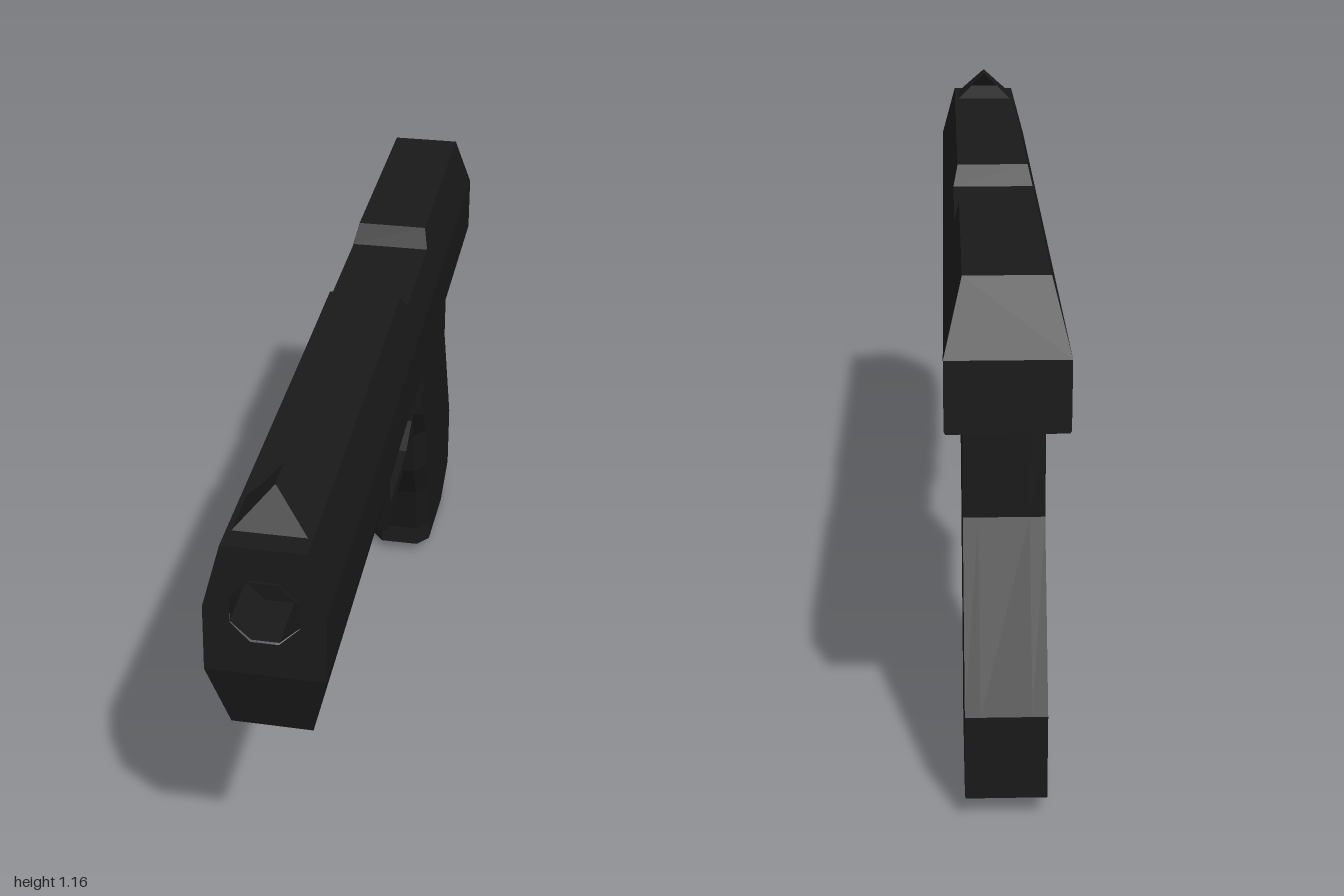
import * as THREE from 'three';

const material = new THREE.MeshStandardMaterial({ color: 0x191919, flatShading: true });
const doubleSided = material.clone();
doubleSided.side = THREE.DoubleSide;

// Extrude a side profile of [z, y] points across x; rule(v) may then move each vertex.
function sideProfile(points, halfWidth, rule, steps = 1) {
  const shape = new THREE.Shape(points.map(([z, y]) => new THREE.Vector2(z, y)));
  const geo = new THREE.ExtrudeGeometry(shape, { depth: halfWidth * 2, bevelEnabled: false, steps });
  geo.translate(0, 0, -halfWidth).rotateY(-Math.PI / 2);
  if (rule) {
    const pos = geo.attributes.position;
    const v = new THREE.Vector3();
    for (let i = 0; i < pos.count; i++) {
      rule(v.fromBufferAttribute(pos, i));
      pos.setXYZ(i, v.x, v.y, v.z);
    }
  }
  geo.computeVertexNormals();
  return geo;
}

// Skin mirrored rings that run from front to back, closing the rear end.
function loft(rings) {
  const out = [];
  const quad = (a, b, c, d) => out.push(...a, ...b, ...c, ...a, ...c, ...d);
  const n = rings[0].length;
  for (let r = 0; r < rings.length - 1; r++) {
    for (let i = 0; i < n; i++) {
      const j = (i + 1) % n;
      quad(rings[r][i], rings[r][j], rings[r + 1][j], rings[r + 1][i]);
    }
  }
  const end = rings[rings.length - 1];
  for (let i = 0; i < n / 2 - 1; i++) quad(end[i], end[i + 1], end[n - 2 - i], end[n - 1 - i]);
  const geo = new THREE.BufferGeometry();
  geo.setAttribute('position', new THREE.Float32BufferAttribute(out, 3));
  geo.computeVertexNormals();
  return geo;
}

// Eight-sided slide section; z holds the depth of its four levels, top to bottom.
function slideRing(z, topY, topHalf, bottomY, bottomHalf) {
  const zs = Array.isArray(z) ? z : [z, z, z, z];
  const right = [[topHalf, topY], [0.115, 0.96], [0.115, 0.825], [bottomHalf, bottomY]]
    .map(([x, y], i) => [x, y, zs[i]]);
  return [...right, ...right.map(([x, y, d]) => [-x, y, d]).reverse()];
}

// Slightly raked muzzle face, bent at y = 0.825
const faceZ = (y) => (y > 0.825 ? 1 - (y - 0.825) * 0.094 : 1 - (0.825 - y) * 0.258);

function facePanel(points, hole) {
  const shape = new THREE.Shape(points.map(([x, y]) => new THREE.Vector2(x, y)));
  if (hole) shape.holes.push(new THREE.Path(hole));
  const geo = new THREE.ShapeGeometry(shape);
  const pos = geo.attributes.position;
  for (let i = 0; i < pos.count; i++) pos.setZ(i, faceZ(pos.getY(i)));
  geo.computeVertexNormals();
  return geo;
}

export function createModel() {
  const group = new THREE.Group();
  const add = (name, geo, mat = material) => {
    const mesh = new THREE.Mesh(geo, mat);
    mesh.name = name;
    group.add(mesh);
    return mesh;
  };

  // Slide with the lowered window on top and the cut-away underside
  add('slide', loft([
    slideRing([1.09, 0.96, 0.825, 0.67].map(faceZ), 1.09, 0.08, 0.67, 0.08),
    slideRing(0.2, 1.09, 0.08, 0.67, 0.08),
    slideRing(0.199, 1.09, 0.08, 0.74, 0.096),
    slideRing(-0.02, 1.092, 0.08, 0.82, 0.112),
    slideRing(-0.06, 1.05, 0.09, 0.82, 0.112),
    slideRing(-0.36, 1.05, 0.09, 0.82, 0.112),
    slideRing(-0.385, 1.095, 0.08, 0.82, 0.112),
    slideRing([-0.935, -1, -1, -1], 1.097, 0.08, 0.82, 0.112),
  ]));

  // Muzzle face with an octagonal bore
  const boreRadius = 0.07, boreY = 0.96, boreDepth = 0.12;
  const octagon = Array.from({ length: 8 }, (_, i) => {
    const a = (i + 0.5) * Math.PI / 4;
    return new THREE.Vector2(Math.cos(a) * boreRadius, boreY + Math.sin(a) * boreRadius);
  });
  add('muzzleFace', facePanel(
    [[-0.115, 0.825], [0.115, 0.825], [0.115, 0.96], [0.08, 1.09], [-0.08, 1.09], [-0.115, 0.96]], octagon));
  add('muzzleLowerFace', facePanel([[-0.08, 0.67], [0.08, 0.67], [0.115, 0.825], [-0.115, 0.825]]));
  const bore = new THREE.CylinderGeometry(boreRadius, boreRadius, boreDepth, 8, 1, true);
  bore.rotateY(Math.PI / 8).rotateX(Math.PI / 2).translate(0, boreY, 0.987 - boreDepth / 2);
  add('bore', bore, doubleSided);
  add('boreEnd', new THREE.CircleGeometry(boreRadius, 8, Math.PI / 8).translate(0, boreY, 0.987 - boreDepth));

  // Front sight, narrowing to a ridge
  add('frontSight', sideProfile(
    [[0.93, 1.085], [0.87, 1.16], [0.795, 1.16], [0.815, 1.125], [0.81, 1.085]], 1,
    (v) => { v.x *= Math.max(0.001, 1.16 - v.y); }));

  // Frame under the slide
  add('frame', sideProfile([[0.2, 0.74], [-0.42, 0.74], [-0.8, 0.74], [-0.83, 0.83], [0.2, 0.83]], 0.08));

  // Tapered lug under the barrel
  add('lug', sideProfile(
    [[0.46, 0.672], [0.385, 0.645], [0.35, 0.597], [0.245, 0.597], [0.215, 0.655], [0.19, 0.655],
      [0.2, 0.745], [0.46, 0.745]], 1,
    (v) => { v.x *= THREE.MathUtils.clamp(0.025 + (v.y - 0.597) * 0.75, 0.025, 0.079); }));

  // Trigger guard, flaring into the frame
  add('triggerGuard', sideProfile(
    [[0.01, 0.745], [0.0, 0.66], [-0.04, 0.44], [-0.075, 0.455], [-0.35, 0.455], [-0.46, 0.49],
      [-0.46, 0.745], [-0.38, 0.745], [-0.42, 0.67], [-0.415, 0.53], [-0.33, 0.49], [-0.085, 0.49],
      [-0.06, 0.625], [-0.08, 0.745]], 1,
    (v) => { v.x *= v.y > 0.7 ? 0.079 : 0.052; }));

  // Trigger
  add('trigger', sideProfile(
    [[-0.3, 0.75], [-0.32, 0.67], [-0.29, 0.585], [-0.2, 0.52], [-0.26, 0.525], [-0.35, 0.59],
      [-0.39, 0.67], [-0.385, 0.75]], 0.025));

  // Grip, with chamfered front edges and a slightly hollow base
  add('grip', sideProfile(
    [[-0.42, 0.83], [-0.42, 0.55], [-0.455, 0.46], [-0.475, 0.335], [-0.53, 0.23], [-0.573, 0.08],
      [-0.567, 0.03], [-0.85, 0.0], [-0.985, 0.05], [-0.985, 0.23], [-0.82, 0.575], [-0.82, 0.755],
      [-0.8, 0.775], [-0.83, 0.83]], 0.08,
    (v) => {
      if (Math.abs(v.x) < 0.05) {
        v.x = Math.sign(v.x) * 0.05;
        if (v.y < 0.02) v.y = 0.015;
      } else if (v.z > -0.6 && v.y < 0.5) {
        v.z -= 0.035;
      }
    }, 3));

  return group;
}
